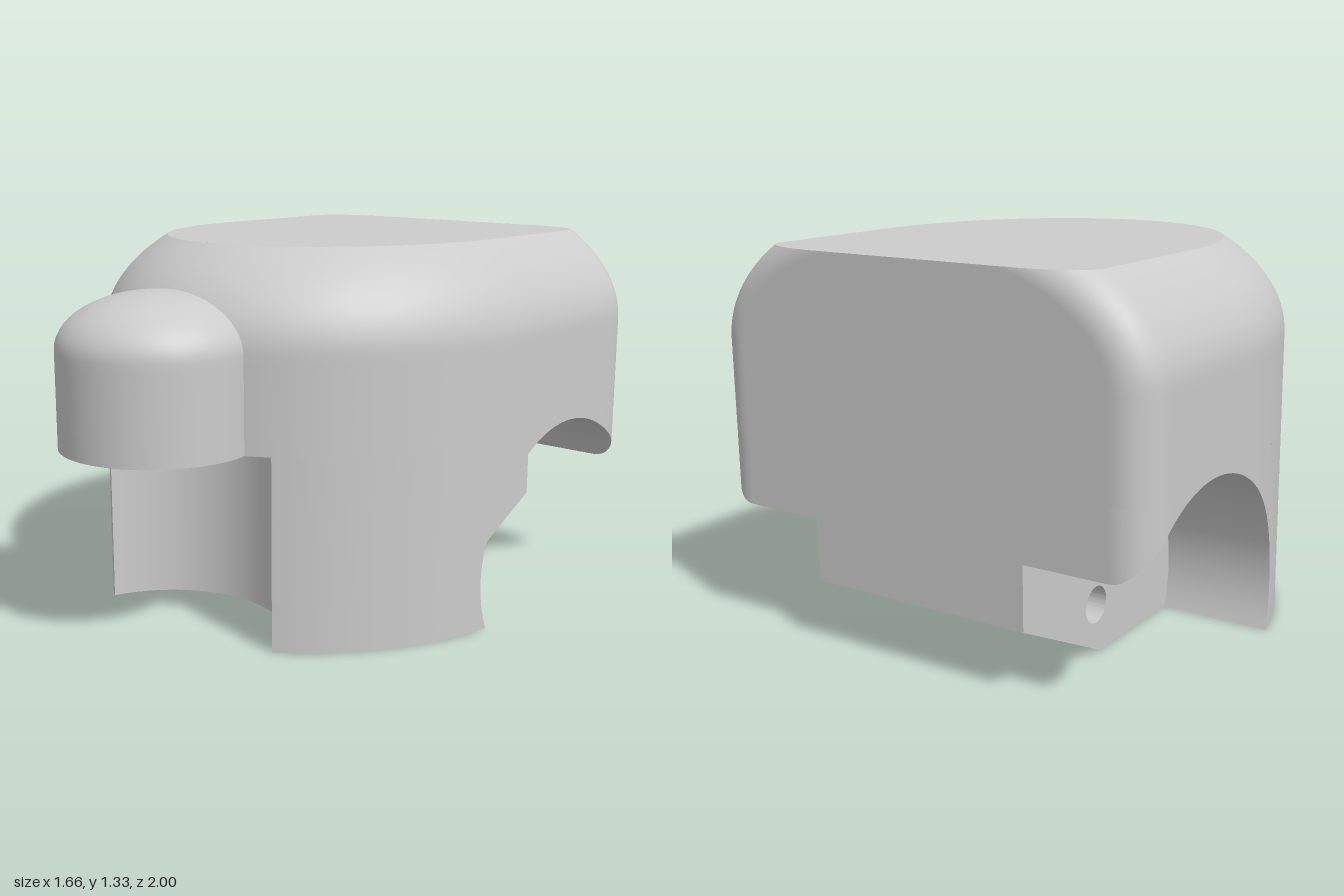
import * as THREE from 'three';
import { toCreasedNormals } from 'three/addons/utils/BufferGeometryUtils.js';

const HALF = 0.83, ZE = -0.333, DOME_Y = 1.0, DOME_H = 0.49, TOP = 1.325, FILLET = 0.12;
const ARCH = { z: -0.58, y: 0.17, r: 0.5 }, BLOCK = 0.41, MID = 0.67;
const NOSE = { z: 0.667, r: 0.333, h: 0.19 };
const SCOOP_X = 0.4, SCOOP_S = Math.sqrt(1 - (SCOOP_X / HALF) ** 2); // corner of the front scoop
const SCOOP_Z = ZE + SCOOP_S, SCOOP_R = Math.hypot(SCOOP_X, NOSE.z - SCOOP_Z);
const SCOOP_A = Math.atan2(SCOOP_Z - NOSE.z, SCOOP_X);
const ARCH_BACK = Math.acos((-1 - ARCH.z) / ARCH.r), ARCH_FRONT = -Math.asin(ARCH.y / ARCH.r);

const lerp = THREE.MathUtils.lerp;
const steps = (n, f) => Array.from({ length: n + 1 }, (_, i) => f(i / n));

// Point on the body skin: base depth z0, fraction f of the half width, height y
function skin(z0, f, y) {
  const h = Math.max(0, y - DOME_Y);
  if (z0 > ZE) {
    const k = Math.sqrt(1 - (h / DOME_H) ** 2), s = Math.min(1, z0 - ZE);
    return [f * HALF * k * Math.sqrt(1 - s * s), y, ZE + k * s];
  }
  const e = Math.min(0, z0 + 1 - FILLET);
  const d = FILLET - Math.sqrt(Math.max(0, FILLET ** 2 - e * e));
  return [f * (HALF - d) * Math.sqrt(1 - (h / (DOME_H - d)) ** 2), y, z0];
}

// Stations [z0, f] along half of the outline
const backStations = [[-1, 0], [-1, 0.5], [-1, 0.98],
  ...steps(10, t => [-1 + FILLET - FILLET * Math.cos(t * Math.PI / 2), 1])];
const noseStations = (s0, s1, n) =>
  steps(n, t => [ZE + Math.sin(lerp(Math.asin(s0), Math.asin(s1), t)), 1]);

// Grid surface from f(i, j); side = -1 mirrors it across x
function grid(nu, nv, f, side = 1) {
  const pos = [], idx = [];
  for (let i = 0; i <= nu; i++) for (let j = 0; j <= nv; j++) {
    const [x, y, z] = f(i, j);
    pos.push(x * side, y, z);
    if (i < nu && j < nv) {
      const a = i * (nv + 1) + j, b = a + nv + 1;
      if (side > 0) idx.push(a, a + 1, b, b, a + 1, b + 1);
      else idx.push(a, b, a + 1, b, b + 1, a + 1);
    }
  }
  const g = new THREE.BufferGeometry();
  g.setAttribute('position', new THREE.Float32BufferAttribute(pos, 3));
  g.setIndex(idx);
  return toCreasedNormals(g, 0.5);
}

// Flat horizontal face from [x, z] points
function flat(points, y, up) {
  const s = new THREE.Shape(points.map(([x, z]) => new THREE.Vector2(x, up ? -z : z)));
  return new THREE.ShapeGeometry(s).rotateX(up ? -Math.PI / 2 : Math.PI / 2).translate(0, y, 0);
}
const mirrored = pts => [...pts, ...pts.slice().reverse().map(([x, z]) => [-x, z])];

export function createModel() {
  const model = new THREE.Group();
  const mat = new THREE.MeshStandardMaterial({ color: 0xcccccc, side: THREE.DoubleSide });
  const add = (name, geo) => {
    const m = new THREE.Mesh(geo, mat);
    m.name = name;
    model.add(m);
  };

  const upper = [...backStations, [-0.86, 1], [-0.6, 1], [-0.35, 1], ...noseStations(0, 1, 32)];
  const levels = [MID, 0.97, ...steps(14, t => lerp(DOME_Y, TOP, t))];
  const archTop = z =>
    ARCH.y + Math.sqrt(Math.max(0, ARCH.r ** 2 - Math.min(ARCH.r, z - ARCH.z) ** 2));
  const lower = [...backStations,
    ...steps(32, t => [ARCH.z + ARCH.r * Math.cos(lerp(Math.acos(-0.59), 0, t)), 1]),
    ...noseStations(ARCH.z + ARCH.r - ZE + 0.002, SCOOP_S, 16)];

  for (const side of [1, -1]) {
    const tag = side > 0 ? 'left' : 'right';
    // Domed upper shell
    add(tag + 'UpperShell', grid(upper.length - 1, levels.length - 1,
      (i, j) => skin(...upper[i], levels[j]), side));
    // Wall over the wheel arch and forward to the scoop
    add(tag + 'LowerWall', grid(lower.length - 1, 1,
      (i, j) => skin(...lower[i], j ? MID : archTop(lower[i][0])), side));
    // Wall foot, undercut by the arch
    add(tag + 'WallFoot', grid(20, 8, (i, j) => {
      const y = ARCH.y * j / 8;
      const z = ARCH.z + Math.sqrt(ARCH.r ** 2 - (y - ARCH.y) ** 2);
      return skin(ZE + Math.sin(lerp(Math.asin(z - ZE), Math.asin(SCOOP_S), i / 20)), 1, y);
    }, side));
    // Curved ceiling of the wheel arch
    add(tag + 'WheelArch', grid(60, 1, (i, j) => {
      const a = lerp(ARCH_BACK, ARCH_FRONT, i / 60);
      const z = Math.max(-1, ARCH.z + ARCH.r * Math.cos(a));
      return [j ? skin(z, 1, 0)[0] : BLOCK, ARCH.y + ARCH.r * Math.sin(a), z];
    }, side));
  }

  // Flat top
  add('topFace', flat(mirrored(upper.map(s => {
    const [x, , z] = skin(...s, TOP);
    return [x, z];
  }).slice(1, -1)), TOP, true));

  // Axle block between the arches, with a sloped tail and axle hole
  const profile = new THREE.Shape();
  profile.moveTo(-1, 0.225);
  profile.lineTo(-0.555, 0);
  profile.absarc(ARCH.z, ARCH.y, ARCH.r, ARCH_FRONT, ARCH_BACK, false);
  profile.closePath();
  const hole = new THREE.Path();
  hole.absarc(ARCH.z, ARCH.y, 0.063, 0, Math.PI * 2, true);
  profile.holes.push(hole);
  const block = new THREE.ExtrudeGeometry(profile,
    { depth: BLOCK * 2, bevelEnabled: false, curveSegments: 32 });
  block.rotateY(-Math.PI / 2).translate(BLOCK, 0, 0);
  add('axleBlock', toCreasedNormals(block, 0.4));

  // Front scoop: curved wall, floor edge and ceiling
  const scoop = t => {
    const a = lerp(SCOOP_A, -Math.PI - SCOOP_A, t);
    return [SCOOP_R * Math.cos(a), NOSE.z + SCOOP_R * Math.sin(a)];
  };
  add('scoopWall', grid(40, 1, (i, j) => {
    const [x, z] = scoop(i / 40);
    return [x, j * MID, z];
  }));
  const footZ = ARCH.z + ARCH.r * Math.cos(ARCH_FRONT);
  const plan = s => {
    const [x, , z] = skin(...s, 0);
    return [x, z];
  };
  const side = noseStations(footZ - ZE, SCOOP_S, 20).map(plan);
  add('bottomFace', flat([...side, ...steps(40, scoop).slice(1, -1),
    ...side.slice().reverse().map(([x, z]) => [-x, z])], 0, false));
  const lip = noseStations(SCOOP_S, 0.9999, 10).map(plan);
  add('scoopCeiling', flat([...mirrored(lip), ...steps(40, scoop).slice(1, -1).reverse()],
    MID, false));

  // Rounded nose: short cylinder with a low dome
  const nose = [new THREE.Vector2(0, MID), new THREE.Vector2(NOSE.r, MID),
    new THREE.Vector2(NOSE.r, 0.97),
    ...steps(14, t => new THREE.Vector2(
      t === 1 ? 0 : NOSE.r * Math.cos(t * Math.PI / 2),
      DOME_Y + NOSE.h * Math.sin(t * Math.PI / 2)))];
  add('nose', toCreasedNormals(new THREE.LatheGeometry(nose, 64).translate(0, 0, NOSE.z), 0.6));

  return model;
}
